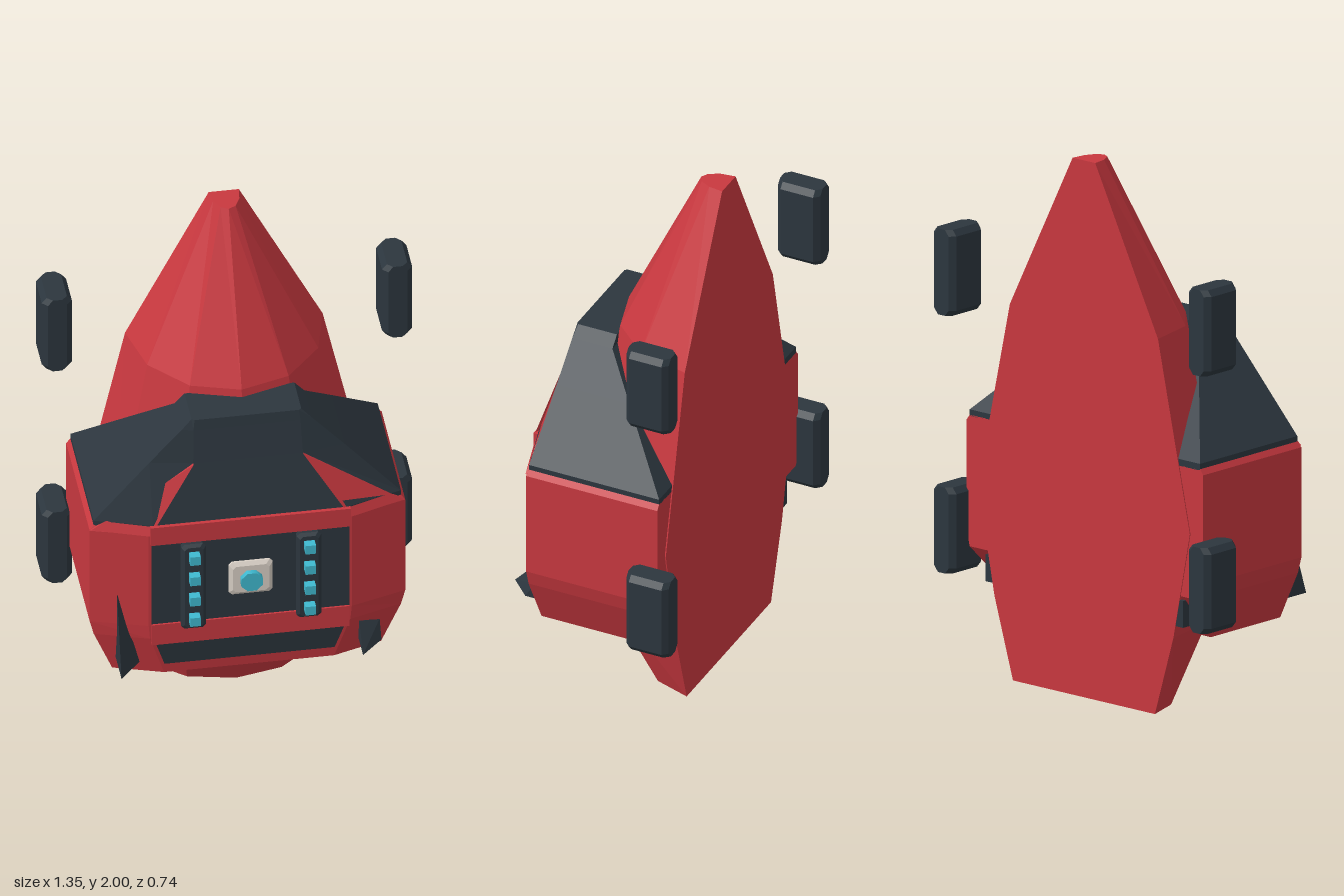
import * as THREE from 'three';

const mat = (name, color, extra = {}) => Object.assign(new THREE.MeshStandardMaterial({ color, ...extra }), { name });

// Closed faceted solid through rings of [x, y, z] points; faces are turned outwards.
function loft(rings) {
  const tris = [];
  const n = rings[0].length;
  for (let r = 0; r < rings.length - 1; r++) {
    for (let i = 0; i < n; i++) {
      const j = (i + 1) % n, a = rings[r], b = rings[r + 1];
      tris.push([a[i], b[i], b[j]], [a[i], b[j], a[j]]);
    }
  }
  const first = rings[0], last = rings[rings.length - 1];
  for (let i = 1; i < n - 1; i++) {
    tris.push([first[0], first[i], first[i + 1]], [last[0], last[i + 1], last[i]]);
  }
  const v = tris.map(t => t.map(p => new THREE.Vector3(...p)));
  const volume = v.reduce((s, [a, b, c]) => s + a.dot(b.clone().cross(c)), 0);
  if (volume < 0) v.forEach(t => t.reverse());
  const geo = new THREE.BufferGeometry().setFromPoints(v.flat());
  geo.computeVertexNormals();
  return geo;
}

// Plan ring of the torso: half width, back z, side-front z, front half width, front z
const plan = ([y, w, back, side, f, front]) => [
  [w, y, back], [w, y, side], [f, y, front], [-f, y, front], [-w, y, side], [-w, y, back],
];

// Plate made by pushing a front outline backwards
const plate = (pts, lift, depth) => loft([
  pts.map(([x, y, z]) => [x, y, z + lift]),
  pts.map(([x, y, z]) => [x, y, z + lift - depth]),
]);

export function createModel() {
  const model = new THREE.Group();
  model.name = 'armouredPod';
  const red = mat('red', 0xc8383f);
  const dark = mat('darkSlate', 0x2c363e);
  const cyan = mat('cyan', 0x3fb9d0);
  const pale = mat('paleGrey', 0xd9d0c6);

  const add = (name, geo, material, x = 0, y = 0, z = 0) => {
    const m = new THREE.Mesh(geo, material);
    m.name = name;
    m.position.set(x, y, z);
    model.add(m);
    return m;
  };
  const box = (name, material, w, h, d, x, y, z) => add(name, new THREE.BoxGeometry(w, h, d), material, x, y, z);

  // Flat-backed pointed hull: y, half width, depth
  const hull = [[0, 0.345, 0.275], [0.3, 0.435, 0.485], [0.7, 0.515, 0.52], [1.4, 0.36, 0.4], [2, 0.055, 0.11]];
  add('hull', loft(hull.map(([y, w, d]) => Array.from({ length: 7 }, (_, i) => {
    const a = i * Math.PI / 6;
    return [w * Math.cos(a), y, -0.29 + d * Math.sin(a)];
  }))), red);

  // Torso shell with tapered underside
  add('torso', loft([
    [0.285, 0.49, -0.15, 0.22, 0.31, 0.277],
    [0.46, 0.56, -0.285, 0.238, 0.365, 0.3],
    [0.52, 0.575, -0.285, 0.24, 0.37, 0.302],
    [0.93, 0.575, -0.285, 0.24, 0.37, 0.302],
    [0.95, 0.56, -0.285, 0.235, 0.36, 0.3],
  ].map(plan)), red);

  // Sloping collar
  add('collar', loft([
    [0.945, 0.56, -0.285, 0.235, 0.36, 0.3],
    [0.97, 0.56, -0.285, 0.235, 0.355, 0.3],
    [1.2, 0.355, -0.065, 0.225, 0.2, 0.254],
    [1.33, 0.237, 0.06, 0.221, 0.195, 0.229],
    [1.37, 0.2, 0.06, 0.215, 0.19, 0.222],
  ].map(plan)), dark);

  // Front panel, bars and lower grille
  box('frontPanel', dark, 0.72, 0.4, 0.01, 0, 0.71, 0.302);
  box('upperBar', red, 0.73, 0.08, 0.05, 0, 0.93, 0.289);
  box('lowerBar', red, 0.72, 0.09, 0.05, 0, 0.485, 0.289);
  add('lowerGrille', plate([[-0.345, 0.44, 0.298], [0.345, 0.44, 0.298], [0.31, 0.33, 0.283], [-0.31, 0.33, 0.283]], 0.004, 0.009), dark);

  // Central badge with lens
  const badge = (w, h, z) => [[-w, -h + 0.012], [-w + 0.012, -h], [w - 0.012, -h], [w, -h + 0.012],
    [w, h - 0.012], [w - 0.012, h], [-w + 0.012, h], [-w, h - 0.012]].map(([x, y]) => [x, y, z]);
  add('badge', loft([badge(0.08, 0.072, 0.3), badge(0.08, 0.072, 0.314), badge(0.066, 0.058, 0.324)]), pale, 0, 0.707, 0);
  add('lens', new THREE.CylinderGeometry(0.042, 0.042, 0.03, 8).rotateY(Math.PI / 8).rotateX(Math.PI / 2), cyan, 0, 0.705, 0.33);

  for (const s of [-1, 1]) {
    const side = s > 0 ? 'left' : 'right';

    // Shoulder brace tapering up the collar
    add(side + 'Shoulder', plate([
      [s * 0.2, 1.2, 0.254], [s * 0.355, 0.97, 0.3], [s * 0.365, 0.93, 0.3], [s * 0.57, 0.935, 0.235],
    ], 0.01, 0.03), red);

    // Light strip with four lamps
    add(side + 'LightStrip', loft([badge(0.045, 0.19, 0.3), badge(0.045, 0.19, 0.325), badge(0.034, 0.18, 0.336)]), dark, s * 0.21, 0.7, 0);
    for (let i = 0; i < 4; i++) {
      box(side + 'Lamp' + i, cyan, 0.038, 0.038, 0.04, s * 0.21, 0.567 + i * 0.092, 0.348);
    }

    // Rear foot of each fin
    box(side + 'FinRear', dark, 0.08, 0.1, 0.25, s * 0.44, 0.395, -0.163);

    // Bevelled pods beside the hull
    for (const [level, y] of [['Lower', 0.527], ['Upper', 1.487]]) {
      const ring = (h, w) => [[w, 0.065], [w - 0.02, 0.085], [0.02 - w, 0.085], [-w, 0.065],
        [-w, -0.065], [0.02 - w, -0.085], [w - 0.02, -0.085], [w, -0.065]].map(([x, z]) => [x, h, z]);
      add(side + level + 'Pod', loft([ring(-0.16, 0.037), ring(-0.138, 0.055), ring(0.138, 0.055), ring(0.16, 0.037)]),
        dark, s * 0.62, y, -0.285);
    }
  }

  // Front fins: both lean the same way
  add('rightFin', loft([
    [[-0.48, 0.345, 0.37], [-0.4, 0.345, 0.28], [-0.4, 0.345, 0.15], [-0.48, 0.345, 0.15]],
    [[-0.48, 0.65, 0.27], [-0.475, 0.65, 0.265], [-0.475, 0.65, 0.15], [-0.48, 0.65, 0.15]],
  ]), dark);
  add('leftFin', loft([
    [[0.4, 0.345, 0.37], [0.48, 0.345, 0.29], [0.48, 0.345, 0.15], [0.4, 0.345, 0.15]],
    [[0.4, 0.435, 0.285], [0.48, 0.41, 0.25], [0.48, 0.41, 0.15], [0.4, 0.435, 0.15]],
  ]), dark);

  return model;
}
